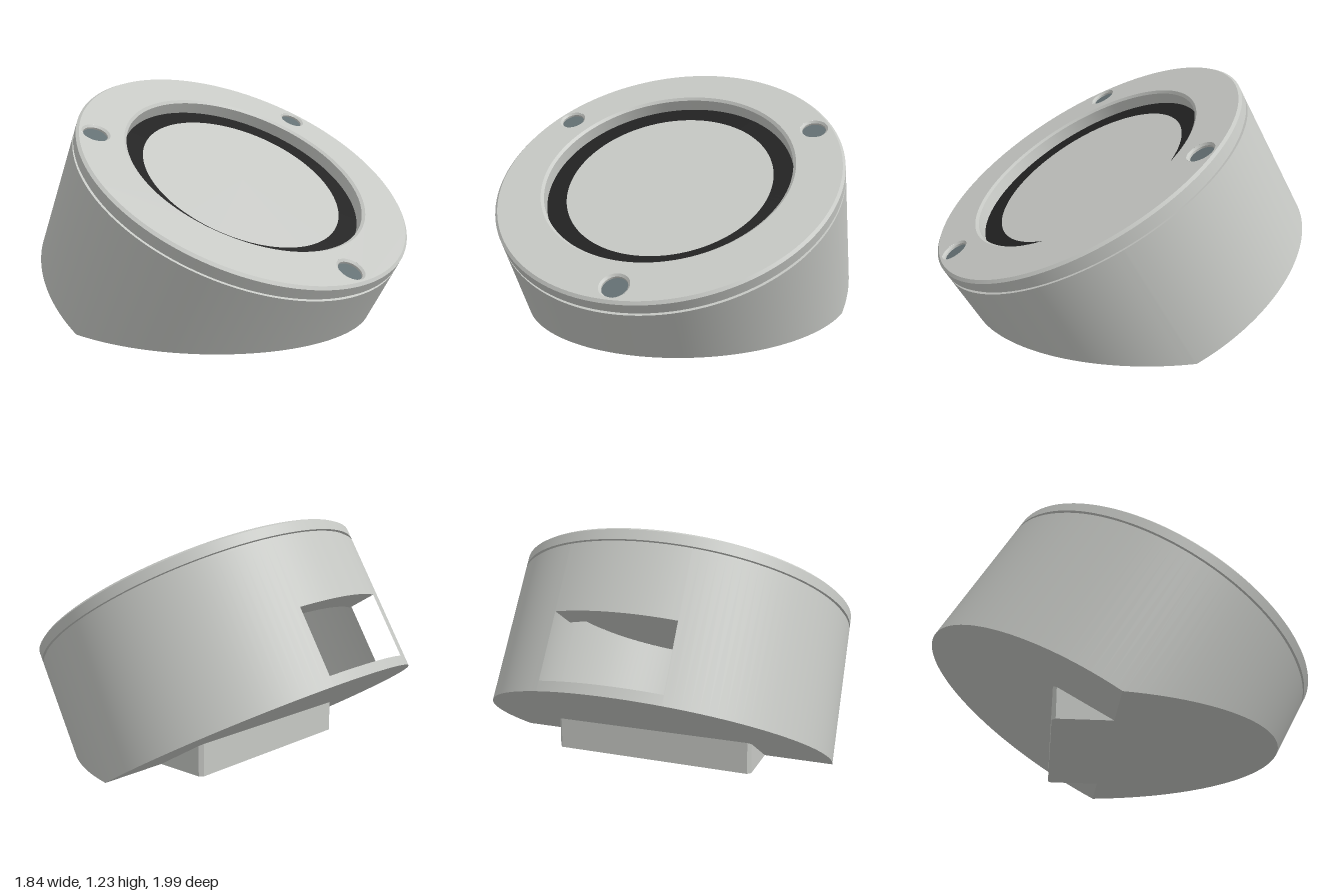
import * as THREE from 'three';
import { mergeVertices } from 'three/addons/utils/BufferGeometryUtils.js';

const TILT = Math.PI / 6, S = Math.sin(TILT), C = Math.cos(TILT);
const TY = 0.779, TZ = 0.204;            // centre of the tilted top face
const R = 0.918, RI = 0.77, H = 0.812;   // outer radius, cavity radius, height
const PORT = { hw: 0.31, lo: -H + 0.05, hi: -H + 0.39 };

const shellGrey = new THREE.MeshStandardMaterial({ color: 0xc6c8c4 });
shellGrey.name = 'shell grey';
const bezelBlack = new THREE.MeshStandardMaterial({ color: 0x222222 });
bezelBlack.name = 'bezel black';
const screwSlate = new THREE.MeshStandardMaterial({ color: 0x647073 });
screwSlate.name = 'screw slate';

function add(parent, name, geometry, material) {
  const mesh = new THREE.Mesh(geometry, material);
  mesh.name = name;
  parent.add(mesh);
  return mesh;
}

// Triangles from a list of quads or triangles, smoothed where corners meet
function facets(polys) {
  const pos = [];
  for (const p of polys)
    for (let i = 1; i + 1 < p.length; i++) pos.push(...p[0], ...p[i], ...p[i + 1]);
  let g = new THREE.BufferGeometry();
  g.setAttribute('position', new THREE.Float32BufferAttribute(pos, 3));
  g = mergeVertices(g, 1e-5);
  g.computeVertexNormals();
  return g;
}

// One lathe per profile segment keeps the edges sharp
function rings(parent, name, points, segments, material) {
  for (let i = 0; i + 1 < points.length; i++) {
    const pair = [points[i], points[i + 1]].map(p => new THREE.Vector2(...p));
    add(parent, name, new THREE.LatheGeometry(pair, segments), material);
  }
}

// Tilted cylinder wall with a port opening, and its base trimmed at a level plane
function vessel(parent, name, r, top, base, level, inward) {
  const chordZ = (TY + C * base - level) / S;
  const kink = Math.acos(chordZ / r), port = Math.asin(PORT.hw / r);
  const angles = [kink, 2 * Math.PI - kink, Math.PI - port, Math.PI + port];
  for (let i = 0; i <= 144; i++) angles.push(i / 144 * 2 * Math.PI);
  angles.sort((a, b) => a - b);
  const at = (a, d) => [r * Math.sin(a), d, r * Math.cos(a)];
  const bottom = a => Math.max(base, (level - TY + S * r * Math.cos(a)) / C);
  const wall = [], floor = [];
  for (let i = 0; i + 1 < angles.length; i++) {
    const a = angles[i], b = angles[i + 1];
    if (b - a < 1e-6) continue;
    const quad = (a0, b0, a1, b1) => {
      const q = [at(a, a0), at(b, b0), at(b, b1), at(a, a1)];
      wall.push(inward ? q.reverse() : q);
    };
    if (Math.abs((a + b) / 2 - Math.PI) < port) {
      if (PORT.lo - base > 0.001) quad(base, base, PORT.lo, PORT.lo);
      quad(PORT.hi, PORT.hi, top, top);
    } else quad(bottom(a), bottom(b), top, top);
    const tri = [[0, base, chordZ], at(a, bottom(a)), at(b, bottom(b))];
    floor.push(inward ? tri : tri.reverse());
  }
  add(parent, name + 'Wall', facets(wall), shellGrey);
  // Flat shading: the floor is two planes meeting at the chord
  const flat = facets(floor).toNonIndexed();
  flat.computeVertexNormals();
  add(parent, name + 'Floor', flat, shellGrey);
}

// Sides, sill and ceiling of the rear port
function portReveal(parent) {
  const { hw, lo, hi } = PORT, z = (r, x) => -Math.sqrt(r * r - x * x);
  const sill = [], ceiling = [], n = 16;
  for (let i = 0; i < n; i++) {
    const a = -hw + 2 * hw * i / n, b = -hw + 2 * hw * (i + 1) / n;
    const strip = y => [[a, y, z(R, a)], [a, y, z(RI, a)], [b, y, z(RI, b)], [b, y, z(R, b)]];
    sill.push(strip(lo));
    ceiling.push(strip(hi).reverse());
  }
  add(parent, 'portSill', facets(sill), shellGrey);
  add(parent, 'portCeiling', facets(ceiling), shellGrey);
  const zo = z(R, hw), zi = z(RI, hw);
  const side = x => [[x, lo, zo], [x, lo, zi], [x, hi, zi], [x, hi, zo]];
  add(parent, 'portSideLeft', facets([side(hw).reverse()]), shellGrey);
  add(parent, 'portSideRight', facets([side(-hw)]), shellGrey);
}

export function createModel() {
  const model = new THREE.Group();
  model.name = 'tiltedRoundHousing';
  const head = new THREE.Group();
  head.name = 'tiltedBody';
  head.position.set(0, TY, TZ);
  head.rotation.x = TILT;
  model.add(head);

  const disc = (name, geometry, d, material) => {
    const m = add(head, name, geometry, material);
    m.rotation.x = -Math.PI / 2;
    m.position.y = d;
    return m;
  };

  // Body shell and hollow inside
  vessel(head, 'body', R, -0.08, -H, 0, false);
  vessel(head, 'cavity', RI, -0.12, PORT.lo, 0.05, true);
  portReveal(head);
  disc('cavityCeiling', new THREE.CircleGeometry(RI, 96), -0.12, shellGrey).rotation.x = Math.PI / 2;

  // Lid: seam groove, chamfered rim, and recess for the display
  rings(head, 'lidRim', [[R, -0.08], [0.905, -0.08], [0.905, -0.065], [R, -0.063],
    [R, -0.012], [0.904, 0]], 144, shellGrey);
  rings(head, 'lidRecess', [[0.673, 0], [0.658, -0.012], [0.658, -0.078]], 144, shellGrey);

  // Lid face with three screw holes
  const face = new THREE.Shape().absarc(0, 0, 0.904, 0, Math.PI * 2);
  face.holes.push(new THREE.Path().absarc(0, 0, 0.673, 0, Math.PI * 2, true));
  for (let i = 0; i < 3; i++) {
    const a = i * Math.PI * 2 / 3, x = 0.818 * Math.sin(a), z = 0.818 * Math.cos(a);
    face.holes.push(new THREE.Path().absarc(x, -z, 0.074, 0, Math.PI * 2, true));
    const hole = new THREE.Group();
    hole.name = 'screwHole';
    hole.position.set(x, 0, z);
    head.add(hole);
    rings(hole, 'screwHoleWall', [[0.074, 0], [0.063, -0.01], [0.063, -0.022]], 40, shellGrey);
    disc('screw', new THREE.CircleGeometry(0.063, 40), -0.02, screwSlate).position.set(x, -0.02, z);
  }
  disc('lidFace', new THREE.ShapeGeometry(face, 72), 0, shellGrey);

  // Display with black bezel
  disc('displayBezel', new THREE.RingGeometry(0.553, 0.658, 144), -0.077, bezelBlack);
  disc('display', new THREE.CircleGeometry(0.553, 144), -0.077, shellGrey);

  // Wedge foot: plan outline raised to meet the sloping underside
  const zk = TZ - H * S + (TY - H * C) / S * C, zb = -0.355, w = 0.545, c = 0.018;
  const plan = new THREE.Shape([[-w, -zk], [w, -zk], [w, -zb - c], [w - c, -zb],
    [c - w, -zb], [-w, -zb - c]].map(p => new THREE.Vector2(...p)));
  const foot = new THREE.ExtrudeGeometry(plan, { depth: 1, bevelEnabled: false });
  foot.rotateX(-Math.PI / 2);
  const p = foot.attributes.position;
  for (let i = 0; i < p.count; i++)
    if (p.getY(i) > 0.5) p.setY(i, (zk - p.getZ(i)) * Math.tan(TILT));
  foot.computeVertexNormals();
  add(model, 'foot', foot, shellGrey);

  return model;
}
